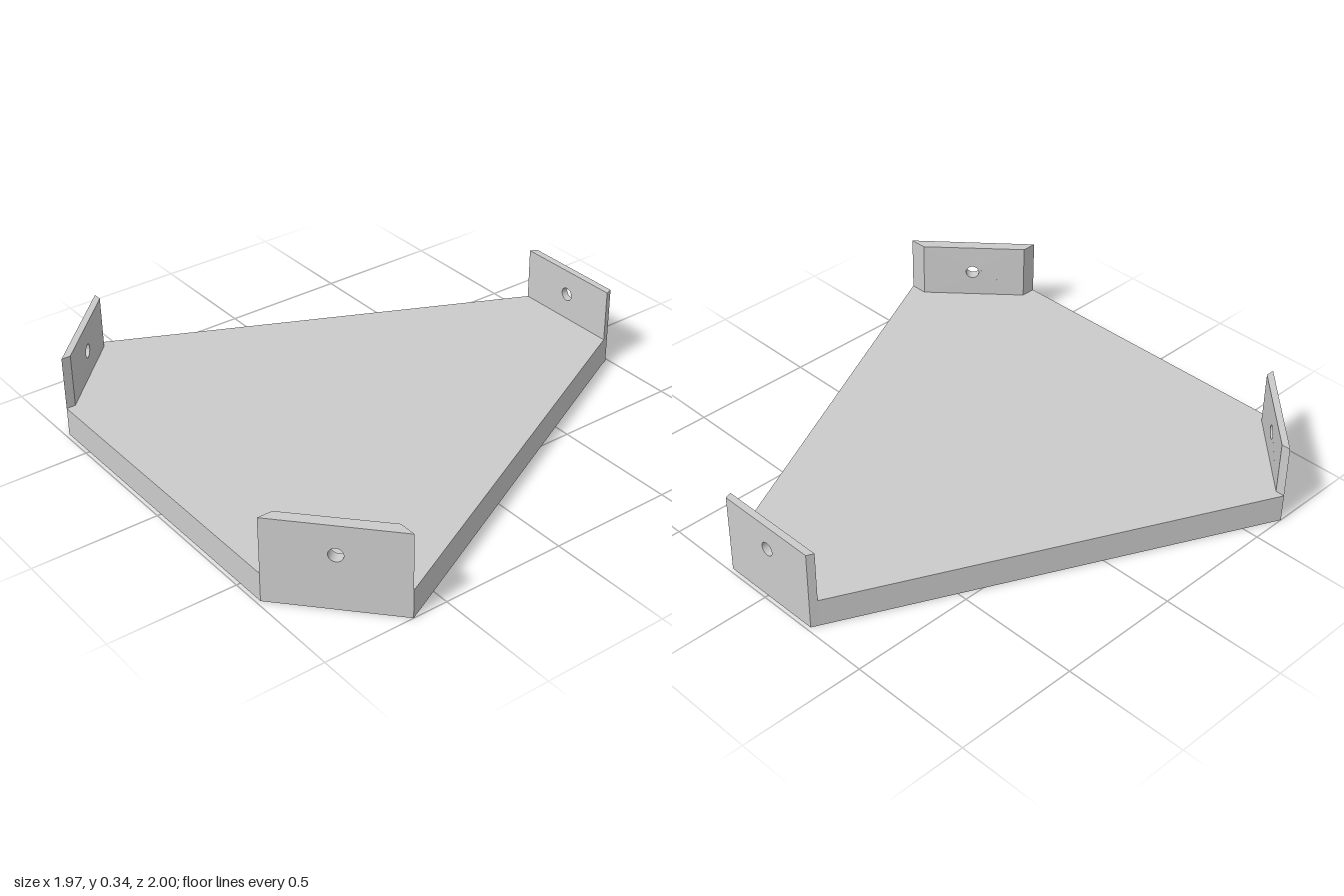
import * as THREE from 'three';

const material = new THREE.MeshStandardMaterial({ color: 0xcccccc });
const PLATE_TOP = 0.115;

// Six-sided base plate, corners given as [x, z]
function plate(corners) {
  const shape = new THREE.Shape(corners.map(([x, z]) => new THREE.Vector2(x, -z)));
  const geo = new THREE.ExtrudeGeometry(shape, { depth: PLATE_TOP, bevelEnabled: false });
  geo.rotateX(-Math.PI / 2);
  const mesh = new THREE.Mesh(geo, material);
  mesh.name = 'basePlate';
  return mesh;
}

// Upright drilled tab: outer edge a-b, mitred inner edge ai-bi, all as [x, z]
function tab(name, a, b, ai, bi, top) {
  const dx = b[0] - a[0], dz = b[1] - a[1];
  const length = Math.hypot(dx, dz);
  const nx = -dz / length, nz = dx / length;
  const thickness = (ai[0] - a[0]) * nx + (ai[1] - a[1]) * nz;

  const shape = new THREE.Shape();
  shape.moveTo(0, PLATE_TOP).lineTo(length, PLATE_TOP).lineTo(length, top).lineTo(0, top).closePath();
  shape.holes.push(new THREE.Path().absarc(length / 2, 0.223, 0.027, 0, Math.PI * 2, true));
  const geo = new THREE.ExtrudeGeometry(shape, { depth: 1, bevelEnabled: false, curveSegments: 24 });

  // Place along the outer edge, with the inner face ending at the mitred corners
  const pos = geo.attributes.position;
  for (let i = 0; i < pos.count; i++) {
    const u = pos.getX(i) / length, depth = pos.getZ(i);
    let x = a[0] + dx * u + nx * thickness * depth;
    let z = a[1] + dz * u + nz * thickness * depth;
    if (depth > 0.5 && u < 0.001) [x, z] = ai;
    if (depth > 0.5 && u > 0.999) [x, z] = bi;
    pos.setXYZ(i, x, pos.getY(i), z);
  }
  geo.computeVertexNormals();
  const mesh = new THREE.Mesh(geo, material);
  mesh.name = name;
  return mesh;
}

export function createModel() {
  const group = new THREE.Group();
  group.name = 'mountingTray';

  group.add(plate([
    [-0.985, 0.62], [-0.64, 1], [0.957, 0.21], [0.985, 0.2],
    [0.985, -0.23], [0.957, -0.243], [-0.64, -1], [-0.985, -0.65],
  ]));

  group.add(
    tab('frontTab', [-0.64, 1], [-0.985, 0.62], [-0.64, 0.93], [-0.925, 0.62], 0.34),
    tab('backTab', [-0.985, -0.65], [-0.64, -1], [-0.948, -0.65], [-0.64, -0.963], 0.33),
    tab('leftTab', [0.985, -0.23], [0.985, 0.2], [0.957, -0.243], [0.957, 0.21], 0.327),
  );
  return group;
}
